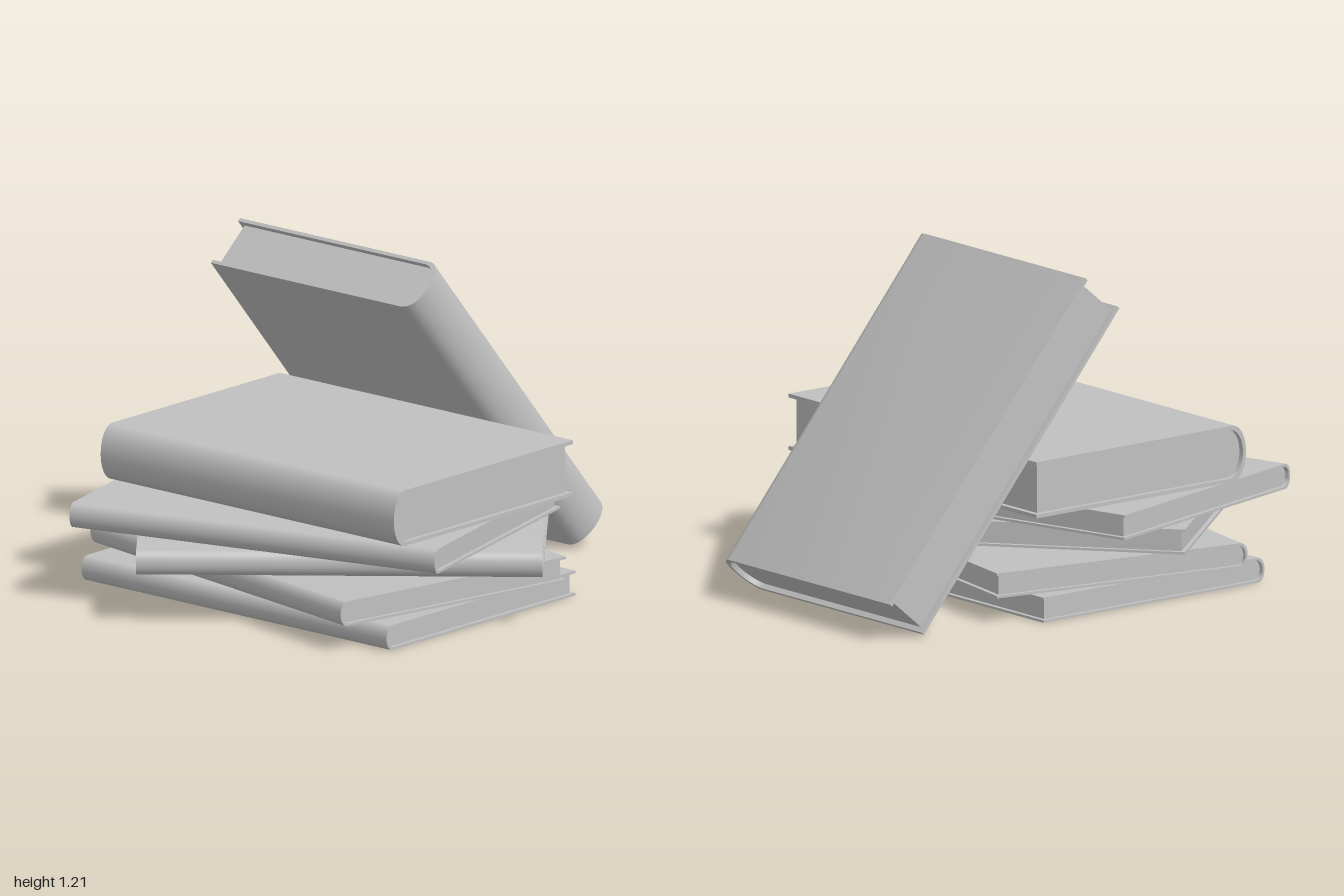
import * as THREE from 'three';
import { toCreasedNormals } from 'three/addons/utils/BufferGeometryUtils.js';

const grey = new THREE.MeshStandardMaterial({ color: 0xc0c0c0 });
grey.name = 'grey';

// Points round the spine side: from the bottom right, round the left end, to the top right
function outline(left, right, half, depth) {
  const points = [[right, -half]];
  for (let i = 0; i <= 12; i++) {
    const a = (i / 12) * Math.PI;
    points.push([left + depth * (1 - Math.sin(a)), -half * Math.cos(a)]);
  }
  points.push([right, half]);
  return points.map(([x, y]) => new THREE.Vector2(x, y));
}

function extrude(points, length, name) {
  let geometry = new THREE.ExtrudeGeometry(new THREE.Shape(points), { depth: length, bevelEnabled: false });
  geometry.translate(0, 0, -length / 2);
  geometry = toCreasedNormals(geometry, 0.6);
  const mesh = new THREE.Mesh(geometry, grey);
  mesh.name = name;
  return mesh;
}

// A closed book lying flat, centred on its origin, with its spine towards -x
function makeBook(name, { width, length, height, board, depth, inset }) {
  const book = new THREE.Group();
  book.name = name;
  const w = width / 2, h = height / 2;
  const outer = outline(-w, w, h, depth);
  const inner = outline(-w + board, w, h - board, depth);
  book.add(extrude([...outer, ...inner.reverse()], length, 'cover'));
  const block = outline(-w + board, w - inset, h - board, depth);
  book.add(extrude(block, length - 2 * inset, 'pages'));
  return book;
}

const thin = { width: 1.025, length: 1.457, height: 0.092, board: 0.009, depth: 0.03, inset: 0.016 };
const thick = { width: 0.972, length: 1.4, height: 0.207, board: 0.014, depth: 0.062, inset: 0.02 };

export function createModel() {
  const model = new THREE.Group();
  model.name = 'bookPile';

  // Stacked books: size, centre and turn
  const stack = [
    ['bottomBook', thin, -0.15, 0.046, -0.06, 0],
    ['secondBook', thin, -0.14, 0.138, -0.07, -0.186],
    ['thirdBook', thin, -0.135, 0.231, -0.005, 0.696],
    ['fourthBook', thin, -0.235, 0.324, -0.05, 0.266],
    ['topBook', thick, -0.137, 0.475, -0.032, 0],
  ];
  for (const [name, size, x, y, z, turn] of stack) {
    const book = makeBook(name, size);
    book.position.set(x, y, z);
    book.rotation.y = turn;
    model.add(book);
  }

  // Book leaning on the pile, spine to the front
  const leaning = makeBook('leaningBook', thick);
  const c = 0.647, s = 0.7625;
  leaning.quaternion.setFromRotationMatrix(new THREE.Matrix4().makeBasis(
    new THREE.Vector3(0, 0, -1), new THREE.Vector3(s, c, 0), new THREE.Vector3(c, -s, 0)));
  leaning.position.set(0.466, 0.611, -0.21);
  model.add(leaning);
  return model;
}
